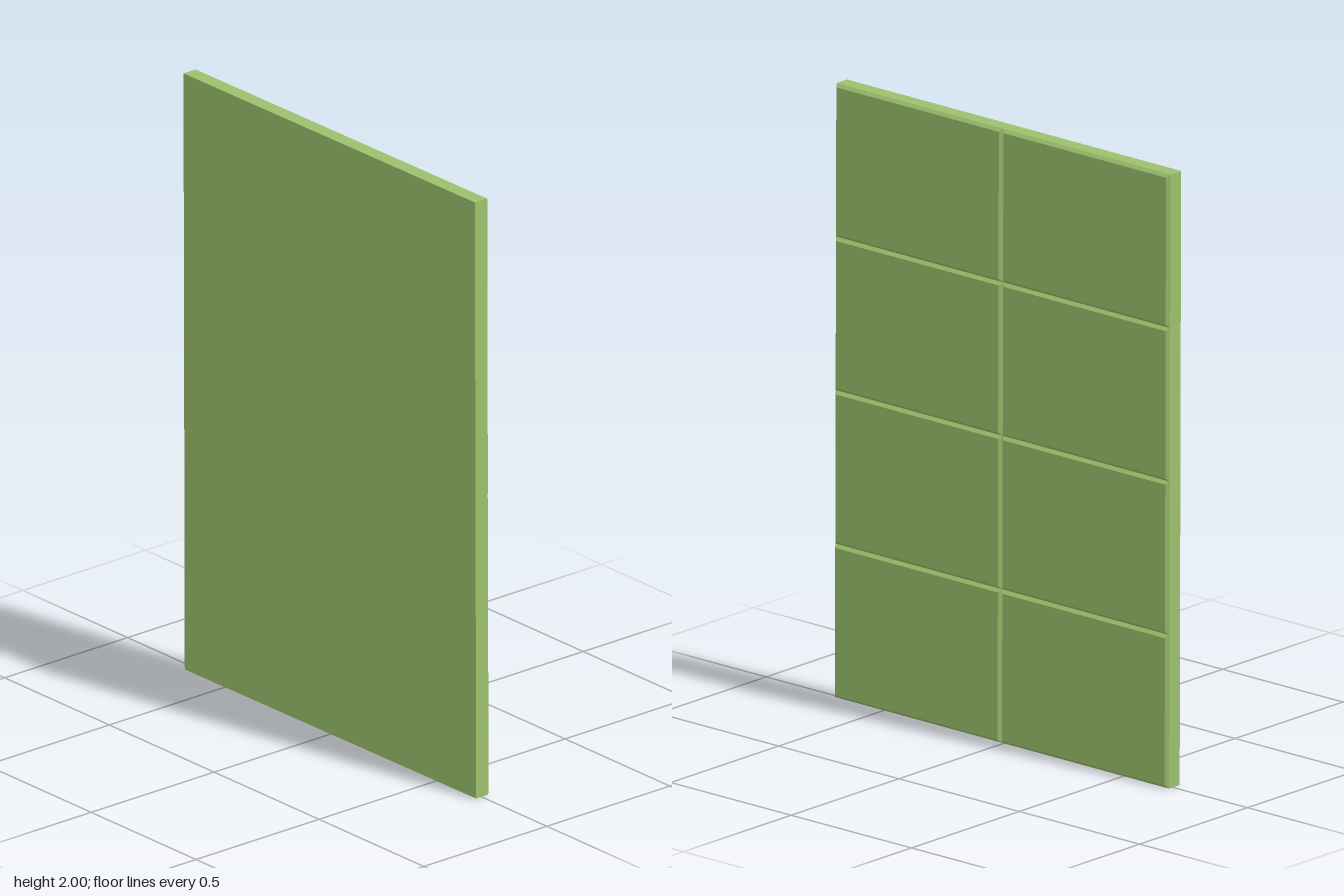
import * as THREE from 'three';

const HEIGHT = 1.995, WIDTH = 1.385, BACK = -0.03, SEAM = 0.019, FACE = 0.029, BEVEL = 0.01;
const ROWS = 4, COLS = 2;

// A tile whose outer (+x) face is inset on all four sides
function bevelledTile(h, w) {
  const geo = new THREE.BoxGeometry(FACE - SEAM, h, w);
  const p = geo.attributes.position;
  for (let i = 0; i < p.count; i++) {
    if (p.getX(i) < 0) continue;
    p.setY(i, p.getY(i) - Math.sign(p.getY(i)) * BEVEL);
    p.setZ(i, p.getZ(i) - Math.sign(p.getZ(i)) * BEVEL);
  }
  geo.computeVertexNormals();
  return geo;
}

export function createModel() {
  const model = new THREE.Group();
  model.name = 'tiledPanel';
  const material = new THREE.MeshStandardMaterial({ color: 0x9cc06c, flatShading: true });

  // Flat backing slab
  const slab = new THREE.Mesh(new THREE.BoxGeometry(SEAM - BACK, HEIGHT, WIDTH), material);
  slab.name = 'backingSlab';
  slab.position.x = (BACK + SEAM) / 2;
  model.add(slab);

  // Grid of bevelled tiles meeting in V-shaped grooves
  const h = HEIGHT / ROWS, w = WIDTH / COLS;
  const tileGeo = bevelledTile(h, w);
  for (let r = 0; r < ROWS; r++) {
    for (let c = 0; c < COLS; c++) {
      const tile = new THREE.Mesh(tileGeo, material);
      tile.name = `tile_${r + 1}_${c + 1}`;
      tile.position.set((SEAM + FACE) / 2, (r + 0.5) * h - HEIGHT / 2, (c + 0.5) * w - WIDTH / 2);
      model.add(tile);
    }
  }

  // The panel stands very slightly askew
  model.rotation.set(-0.003, 0.003, 0);
  model.position.y = 1.0;
  return model;
}
